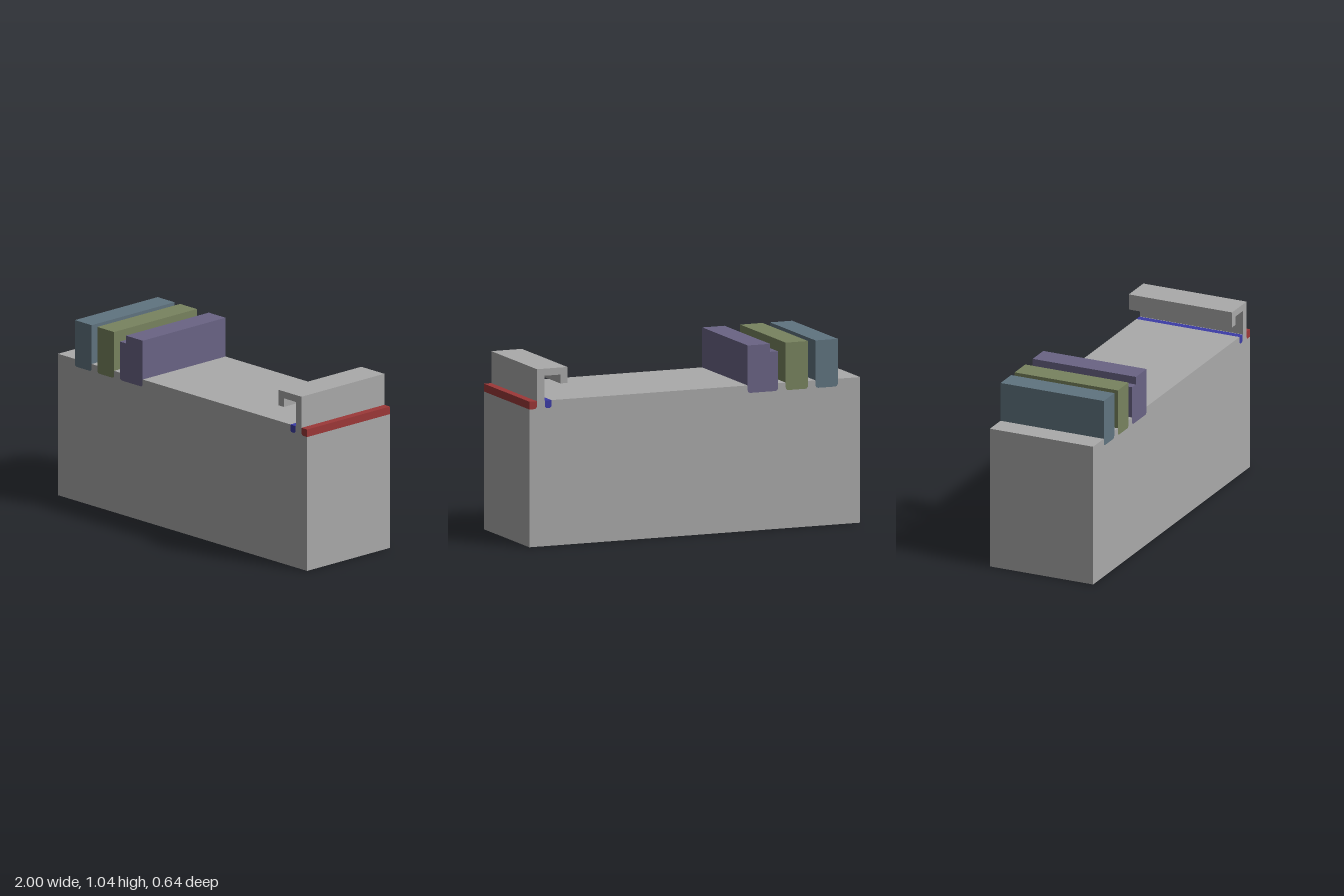
import * as THREE from 'three';

const DEPTH = 0.636, TOP = 0.82, SEAT = 0.777;

function material(name, color) {
  const m = new THREE.MeshStandardMaterial({ color });
  m.name = name;
  return m;
}

// Extrude a front-facing outline through the full depth, centred on z
function extrude(name, points, mat) {
  const shape = new THREE.Shape(points.map(([x, y]) => new THREE.Vector2(x, y)));
  const geo = new THREE.ExtrudeGeometry(shape, { depth: DEPTH, bevelEnabled: false });
  geo.translate(0, 0, -DEPTH / 2);
  const mesh = new THREE.Mesh(geo, mat);
  mesh.name = name;
  return mesh;
}

// Rounded foot running from the left rim down and up to the right rim
function foot(x0, x1, r = 0.016) {
  const pts = [[x0, TOP]];
  for (let i = 0; i <= 3; i++) {
    const a = (i / 3) * Math.PI / 2;
    pts.push([x0 + r * (1 - Math.cos(a)), SEAT + r * (1 - Math.sin(a))]);
  }
  for (let i = 3; i >= 0; i--) {
    const a = (i / 3) * Math.PI / 2;
    pts.push([x1 - r * (1 - Math.cos(a)), SEAT + r * (1 - Math.sin(a))]);
  }
  pts.push([x1, TOP]);
  return pts;
}

export function createModel() {
  const group = new THREE.Group();
  const gray = material('body gray', 0xaaaaaa);
  const teal = material('slate blue', 0x607480);
  const olive = material('olive green', 0x78835f);
  const purple = material('muted purple', 0x6a6485);
  const blue = material('deep blue', 0x3c3ca6);
  const red = material('dark red', 0x9c3838);

  const feet = {
    teal: foot(-0.865, -0.73),
    olive: foot(-0.685, -0.55),
    purple: foot(-0.503, -0.32),
    blue: foot(0.866, 0.906, 0.013),
  };
  const redSeat = [[0.955, TOP], [0.955, 0.787], [0.965, 0.776], [1, 0.776]];

  // Body with seats cut for every insert, and the hook rising at the +x end
  group.add(extrude('body', [
    [-1, 0], [-1, TOP],
    ...feet.teal, ...feet.olive, ...feet.purple, ...feet.blue,
    [0.91, TOP], [0.91, 0.96], [0.813, 0.96], [0.813, 0.91], [0.77, 0.91],
    [0.77, 1.0], [0.955, 1.0],
    ...redSeat, [1, 0],
  ], gray));

  // Upright blocks
  const H = 1.045;
  group.add(extrude('outerBlock', [...feet.teal, [-0.73, H], [-0.865, H]], teal));
  group.add(extrude('middleBlock', [...feet.olive, [-0.55, H], [-0.685, H]], olive));
  group.add(extrude('steppedBlock',
    [...feet.purple, [-0.32, H], [-0.455, H], [-0.455, 1.0], [-0.503, 1.0]], purple));

  // Strips beside the hook
  group.add(extrude('innerStrip', feet.blue, blue));
  group.add(extrude('edgeStrip', [...redSeat, [1, TOP]], red));
  return group;
}
